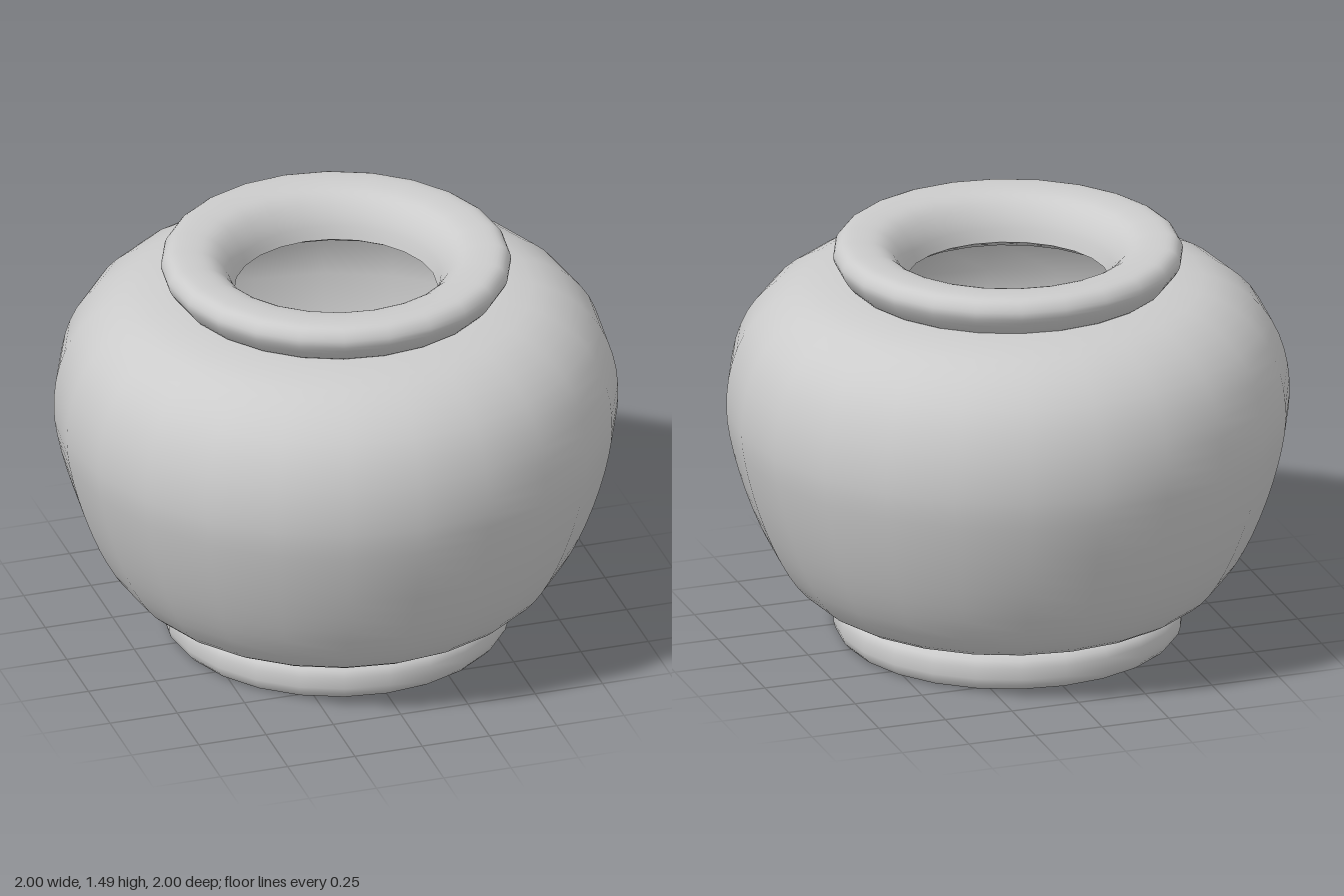
import * as THREE from 'three';

const material = new THREE.MeshStandardMaterial({ color: 0xcccccc, side: THREE.DoubleSide });
const SIDES = 24;

// Revolve a [radius, height] profile, optionally smoothed by a spline
function turned(name, profile, sides = SIDES, samples = 0) {
  let points = profile.map(([r, y]) => new THREE.Vector2(r, y));
  if (samples) points = new THREE.SplineCurve(points).getPoints(samples);
  points.forEach(p => { p.x = Math.max(p.x, 0); });
  const mesh = new THREE.Mesh(new THREE.LatheGeometry(points, sides), material);
  mesh.name = name;
  return mesh;
}

export function createModel() {
  const pot = new THREE.Group();
  pot.name = 'pot';

  // Rounded foot with a closed underside
  pot.add(turned('foot', [
    [0, 0], [0.57, 0], [0.595, 0.005], [0.613, 0.025], [0.62, 0.05],
    [0.62, 0.09], [0.61, 0.115], [0.59, 0.132], [0.54, 0.138],
  ]));

  // Bulging body, widest above the middle
  pot.add(turned('body', [
    [0.53, 0.138], [0.62, 0.145], [0.72, 0.19], [0.8, 0.275], [0.875, 0.41], [0.94, 0.58],
    [0.985, 0.75], [1, 0.88], [0.985, 1.02], [0.935, 1.15], [0.85, 1.25],
    [0.74, 1.315], [0.62, 1.34], [0.54, 1.345],
  ], SIDES, 32));

  // Thick rolled lip that funnels down to the mouth
  pot.add(turned('lip', [
    [0.53, 1.335], [0.565, 1.345], [0.6, 1.385], [0.62, 1.425], [0.615, 1.455],
    [0.595, 1.478], [0.56, 1.487], [0.5, 1.485], [0.45, 1.472], [0.41, 1.44],
    [0.378, 1.39], [0.36, 1.33],
  ], SIDES, 28));

  // Hollow interior down to a flat floor
  pot.add(turned('interior', [
    [0.36, 1.33], [0.42, 1.295], [0.6, 1.285], [0.74, 1.255], [0.86, 1.15], [0.93, 1.0],
    [0.945, 0.88], [0.92, 0.7], [0.86, 0.51], [0.77, 0.34], [0.68, 0.235],
    [0.56, 0.2], [0, 0.2],
  ]));

  // Bone-shaped stick lying on the floor: knobbed ends, narrow waist
  const stick = turned('stick', [
    [0, -0.33], [0.05, -0.328], [0.068, -0.305], [0.08, -0.24], [0.068, -0.17], [0.06, -0.06],
    [0.047, 0.06], [0.06, 0.14], [0.076, 0.21], [0.078, 0.29], [0.062, 0.33],
    [0.07, 0.345], [0.055, 0.37], [0, 0.375],
  ], 10);
  stick.rotation.x = Math.PI / 2;
  stick.position.y = 0.28;
  pot.add(stick);

  return pot;
}
